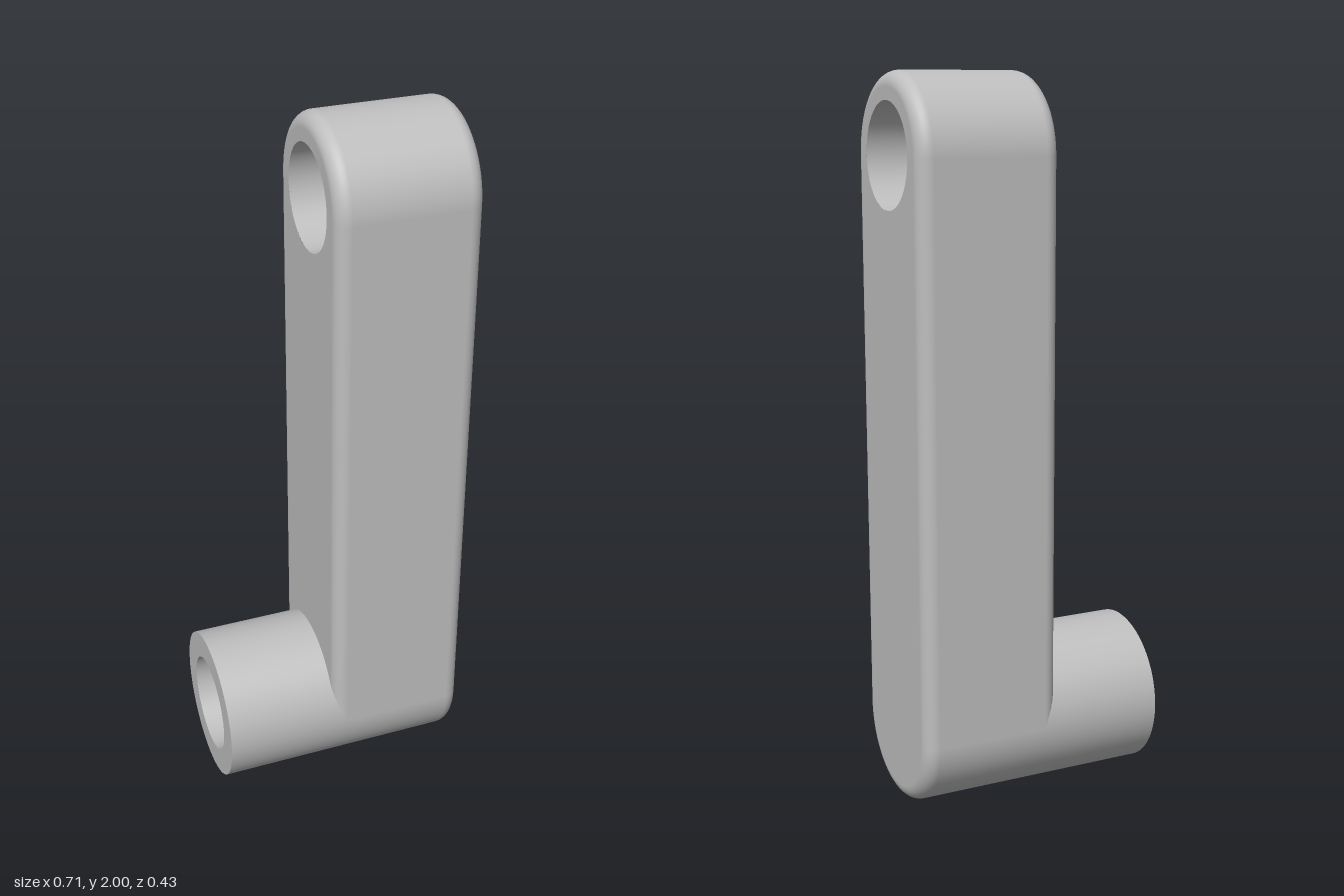
import * as THREE from 'three';

const R = 0.217, HOLE = 0.141, BEVEL = 0.04;
const LOW = R, HIGH = 2 - R;            // heights of the two end centres
const X0 = -0.357, XA = -0.04, X1 = 0.357;
const SEG = 64;

// Rounded-end outline, half circle at each end, as (z, y) with outward direction
function outline(r) {
  const pts = [];
  for (const [cy, start] of [[HIGH, 0], [LOW, Math.PI]]) {
    for (let i = 0; i <= SEG / 2; i++) {
      const t = start + (i / (SEG / 2)) * Math.PI;
      const nz = Math.cos(t), ny = Math.sin(t);
      pts.push({ z: r * nz, y: cy + r * ny, nz, ny });
    }
  }
  return pts;
}

// Side wall of the arm with rounded edges, lofted along x
function armWall() {
  const pos = [], nor = [], idx = [], stations = [], steps = 8;
  for (let i = 0; i <= steps; i++) stations.push([XA + BEVEL, -Math.PI / 2 * (1 - i / steps)]);
  for (let i = 0; i <= steps; i++) stations.push([X1 - BEVEL, Math.PI / 2 * i / steps]);
  let n = 0;
  for (const [cx, a] of stations) {
    const c = Math.cos(a), s = Math.sin(a);
    const ring = outline(R - BEVEL + BEVEL * c);
    n = ring.length;
    for (const p of ring) {
      pos.push(cx + BEVEL * s, p.y, p.z);
      nor.push(s, c * p.ny, c * p.nz);
    }
  }
  for (let s = 0; s < stations.length - 1; s++) {
    for (let i = 0; i < n; i++) {
      const j = (i + 1) % n, a = s * n + i, d = s * n + j;
      idx.push(a, a + n, d + n, a, d + n, d);
    }
  }
  const g = new THREE.BufferGeometry();
  g.setAttribute('position', new THREE.Float32BufferAttribute(pos, 3));
  g.setAttribute('normal', new THREE.Float32BufferAttribute(nor, 3));
  g.setIndex(idx);
  return g;
}

// Flat arm face facing +x (dir 1) or -x (dir -1), with round openings
function armFace(dir, holeHeights) {
  const shape = new THREE.Shape(outline(R - BEVEL).map(p => new THREE.Vector2(p.z, p.y)));
  for (const y of holeHeights) {
    shape.holes.push(new THREE.Path().absarc(0, y, HOLE, 0, Math.PI * 2, true));
  }
  return new THREE.ShapeGeometry(shape, SEG)
    .rotateY(dir * Math.PI / 2).translate(dir > 0 ? X1 : XA, 0, 0);
}

// Open tube along x; running from high x to low x makes it face inwards
function tube(r, xa, xb, y) {
  const pts = [new THREE.Vector2(r, xa), new THREE.Vector2(r, xb)];
  return new THREE.LatheGeometry(pts, SEG).rotateZ(-Math.PI / 2).translate(0, y, 0);
}

export function createModel() {
  const group = new THREE.Group();
  const grey = new THREE.MeshStandardMaterial({ color: 0xbebebe });
  grey.name = 'grey';
  const add = (name, geometry, parent) => {
    const mesh = new THREE.Mesh(geometry, grey);
    mesh.name = name;
    parent.add(mesh);
  };

  // Upright arm with a through hole near the top
  const arm = new THREE.Group();
  arm.name = 'arm';
  add('armWall', armWall(), arm);
  add('armOuterFace', armFace(1, [HIGH]), arm);
  add('armInnerFace', armFace(-1, [HIGH, LOW]), arm);
  add('throughHole', tube(HOLE, X1, XA, HIGH), arm);

  // Hollow boss at the foot, with a blind bore reaching into the arm
  const boss = new THREE.Group();
  boss.name = 'boss';
  const boreEnd = 0.04;
  add('bossWall', tube(R, X0, XA + BEVEL, LOW), boss);
  add('bossRim', new THREE.RingGeometry(HOLE, R, SEG).rotateY(-Math.PI / 2).translate(X0, LOW, 0), boss);
  add('bossBore', tube(HOLE, boreEnd, X0, LOW), boss);
  add('boreBottom', new THREE.CircleGeometry(HOLE, SEG).rotateY(-Math.PI / 2).translate(boreEnd, LOW, 0), boss);

  group.add(arm, boss);
  return group;
}
